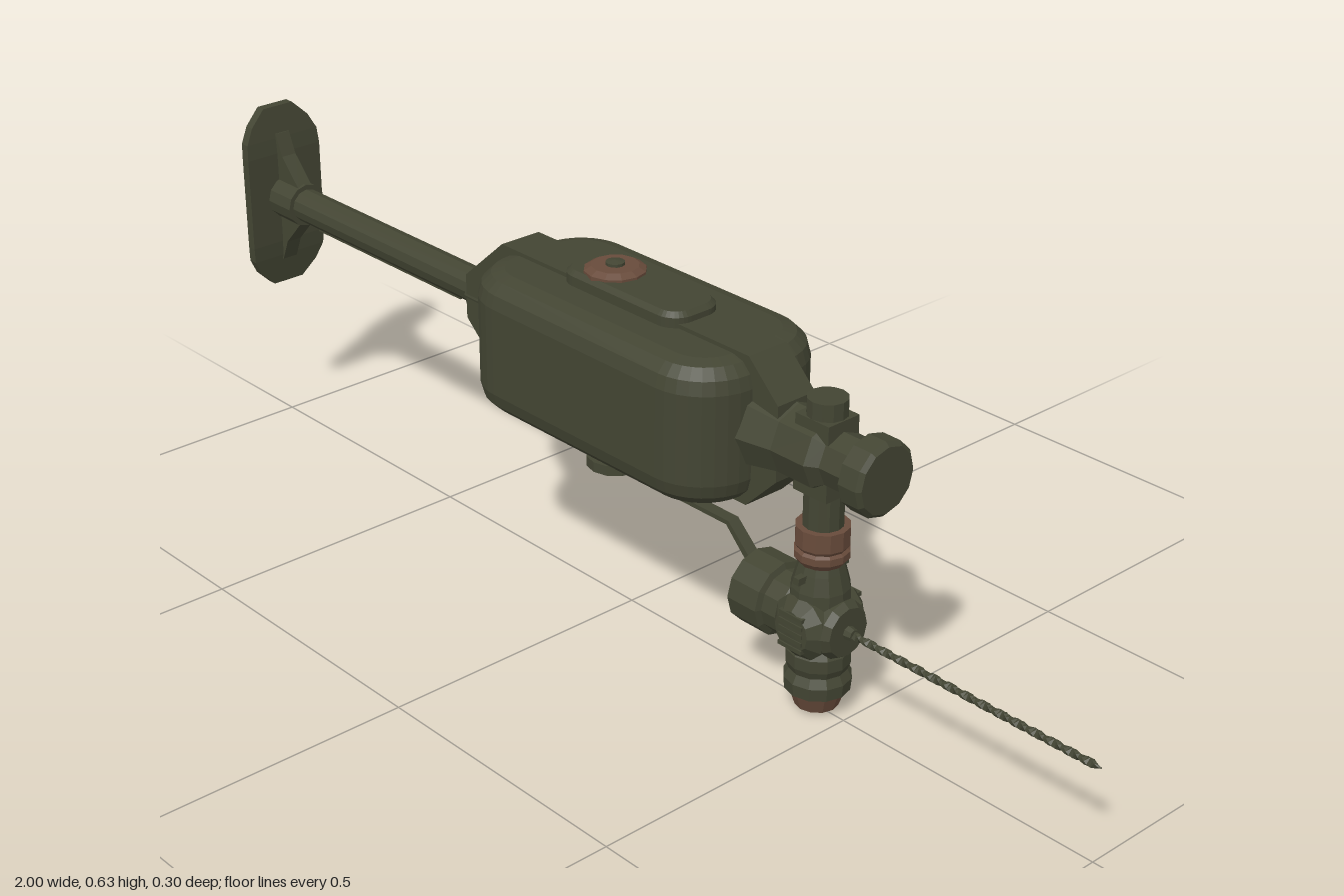
import * as THREE from 'three';

const flat = (name, color) => {
  const m = new THREE.MeshStandardMaterial({ color, flatShading: true });
  m.name = name;
  return m;
};

export function createModel() {
  const root = new THREE.Group();
  root.name = 'handDrill';
  const green = flat('olive', 0x434533);
  const brown = flat('brown', 0x684b3b);

  const add = (name, geo, mat = green, x = 0, y = 0, z = 0) => {
    const m = new THREE.Mesh(geo, mat);
    m.name = name;
    m.position.set(x, y, z);
    root.add(m);
    return m;
  };
  // Turned part along y: profile is [radius, y] from bottom to top
  const turned = (name, prof, mat, x, y, z = 0, sides = 12) =>
    add(name, new THREE.LatheGeometry(prof.map(p => new THREE.Vector2(p[0], p[1])), sides), mat, x, y, z);
  // Turned part along x: profile is [radius, x]
  const turnedX = (name, prof, mat, y, sides = 12) => {
    const m = turned(name, prof, mat, 0, y, 0, sides);
    m.geometry.rotateZ(-Math.PI / 2);
    return m;
  };
  const box = (name, w, h, d, x, y, z = 0) => add(name, new THREE.BoxGeometry(w, h, d), green, x, y, z);
  // Outline in the xy plane, given thickness across z
  const slab = (name, pts, d, z = 0) => {
    const s = new THREE.Shape(pts.map(p => new THREE.Vector2(p[0], p[1])));
    return add(name, new THREE.ExtrudeGeometry(s, { depth: d, bevelEnabled: false }), green, 0, 0, z - d / 2);
  };
  // Rounded rectangle lying in xz, extruded up with bevelled rims
  const pad = (name, hx, hz, r, h, bevel, x, y, segs) => {
    const a = hx - bevel, b = hz - bevel;
    const s = new THREE.Shape();
    s.moveTo(a, -b + r);
    s.absarc(a - r, b - r, r, 0, Math.PI / 2);
    s.absarc(-a + r, b - r, r, Math.PI / 2, Math.PI);
    s.absarc(-a + r, -b + r, r, Math.PI, Math.PI * 1.5);
    s.absarc(a - r, -b + r, r, Math.PI * 1.5, Math.PI * 2);
    const g = new THREE.ExtrudeGeometry(s, {
      depth: h - 2 * bevel, bevelSize: bevel, bevelThickness: bevel, bevelSegments: segs, curveSegments: 4 });
    g.rotateX(-Math.PI / 2);
    return add(name, g, green, x, y + bevel, 0);
  };

  const axisY = 0.455;

  // Motor housing with its central rib and mounting pads
  pad('housing', 0.3, 0.148, 0.06, 0.245, 0.045, 0.02, 0.33, 3);
  slab('centralRib', [[-0.38, 0.415], [-0.28, 0.325], [0.31, 0.325], [0.375, 0.39],
    [0.375, 0.52], [0.31, 0.582], [-0.28, 0.582], [-0.38, 0.495]], 0.08);
  pad('topPad', 0.14, 0.056, 0.03, 0.035, 0.008, 0.02, 0.565, 1);
  pad('bottomPad', 0.14, 0.056, 0.03, 0.035, 0.008, 0.02, 0.308, 1);

  // Top cap and bottom knob
  turned('topCap', [[0, 0.59], [0.052, 0.59], [0.052, 0.604], [0.04, 0.611], [0, 0.611]], brown, -0.04, 0);
  turned('topCapStud', [[0, 0.6], [0.016, 0.6], [0.016, 0.616], [0, 0.619]], green, -0.04, 0);
  turned('knob', [[0, 0.262], [0.036, 0.262], [0.05, 0.28], [0.05, 0.298], [0.042, 0.312], [0, 0.312]], brown, -0.04, 0);
  turned('knobFoot', [[0, 0.25], [0.05, 0.25], [0.05, 0.268], [0, 0.268]], green, -0.04, 0);
  slab('strap', [[-0.08, 0.25], [0.238, 0.25], [0.3, 0.188], [0.31, 0.196], [0.243, 0.258], [-0.08, 0.258]], 0.022);

  // Rear pole and collars
  turnedX('pole', [[0, -0.95], [0.031, -0.95], [0.031, -0.35], [0, -0.35]], green, axisY);
  turnedX('frontCollar', [[0, -0.385], [0.041, -0.385], [0.041, -0.26], [0, -0.26]], green, axisY);
  turnedX('rearCollar', [[0, -0.975], [0.04, -0.975], [0.04, -0.905], [0, -0.905]], green, axisY);
  box('poleRail', 0.42, 0.01, 0.016, -0.65, 0.424);

  // Curved shoulder plate: ends narrow and bend backwards
  const plate = new THREE.BoxGeometry(0.018, 0.35, 0.16, 1, 12, 2);
  const pos = plate.attributes.position;
  for (let i = 0; i < pos.count; i++) {
    const t = Math.max(0, Math.abs(pos.getY(i)) - 0.1) / 0.075;
    pos.setZ(i, pos.getZ(i) * (1 - 0.6 * t * t));
    pos.setX(i, pos.getX(i) - 0.012 * t);
  }
  add('shoulderPlate', plate, green, -0.979, axisY);
  for (const s of [1, -1]) {
    const pts = [[-0.975, axisY], [-0.908, axisY], [-0.908, axisY + s * 0.035],
      [-0.955, axisY + s * 0.085], [-0.972, axisY + s * 0.125], [-0.975, axisY + s * 0.125]];
    slab('plateGusset', s > 0 ? pts : pts.reverse(), 0.03);
  }

  // Gear head in front of the housing
  turnedX('headTube', [[0, 0.28], [0.075, 0.3], [0.06, 0.38], [0.06, 0.45], [0.047, 0.47], [0.047, 0.54], [0, 0.54]], green, axisY, 8);
  turnedX('headCap', [[0, 0.525], [0.063, 0.525], [0.063, 0.56], [0.056, 0.567], [0, 0.567]], green, axisY);
  box('headBlock', 0.07, 0.13, 0.066, 0.44, 0.455);
  turned('post', [[0, 0.3], [0.033, 0.3], [0.033, 0.549], [0, 0.549]], green, 0.44, 0);

  // Vertical spindle stack below the head
  turned('postRing', [[0, 0.264], [0.034, 0.264], [0.045, 0.278], [0.045, 0.29], [0.04, 0.294],
    [0.044, 0.3], [0.044, 0.332], [0, 0.332]], brown, 0.44, 0);
  turned('spindleNeck', [[0, 0.19], [0.05, 0.19], [0.048, 0.225], [0.04, 0.255], [0.034, 0.275], [0, 0.275]], green, 0.44, 0);
  turned('lowerBulges', [[0, 0.04], [0.054, 0.04], [0.056, 0.062], [0.048, 0.077], [0.053, 0.09],
    [0.053, 0.112], [0.045, 0.125], [0, 0.125]], green, 0.44, 0);
  turned('bottomCone', [[0, 0.008], [0.036, 0.008], [0.047, 0.041], [0, 0.041]], brown, 0.44, 0);
  turned('bottomStud', [[0, 0], [0.01, 0], [0.01, 0.012], [0, 0.012]], green, 0.44, 0);

  // Chuck body, side hubs and knurls
  const chuckY = 0.163;
  turnedX('chuckBody', [[0, 0.29], [0.05, 0.29], [0.064, 0.298], [0.064, 0.36], [0.054, 0.364],
    [0.054, 0.4], [0.05, 0.41], [0.05, 0.49], [0.042, 0.502], [0, 0.502]], green, chuckY);
  for (const s of [1, -1]) {
    const hub = turned('sideHub', [[0, 0], [0.055, 0], [0.055, 0.045], [0.035, 0.064], [0, 0.066]], green, 0.44, chuckY);
    hub.rotation.x = s * Math.PI / 2;
    for (let i = 0; i < 5; i++) box('knurl', 0.05, 0.007, 0.014, 0.44, chuckY + (i - 2) * 0.014, s * 0.06);
    box('neckPin', 0.012, 0.012, 0.03, 0.44, 0.249, s * 0.041);
  }

  // Twisted drill bit with a tapered tip
  turnedX('bitHolder', [[0, 0.49], [0.014, 0.49], [0.01, 0.515], [0, 0.515]], green, chuckY, 8);
  const bit = new THREE.BoxGeometry(0.49, 0.012, 0.007, 90, 1, 1);
  const bp = bit.attributes.position;
  for (let i = 0; i < bp.count; i++) {
    const x = bp.getX(i), a = x * 95;
    const k = Math.min(1, 0.2 + (0.245 - x) / 0.02);
    const y = bp.getY(i) * k, z = bp.getZ(i) * k;
    bp.setY(i, y * Math.cos(a) - z * Math.sin(a));
    bp.setZ(i, y * Math.sin(a) + z * Math.cos(a));
  }
  add('drillBit', bit, green, 0.754, chuckY);

  return root;
}
